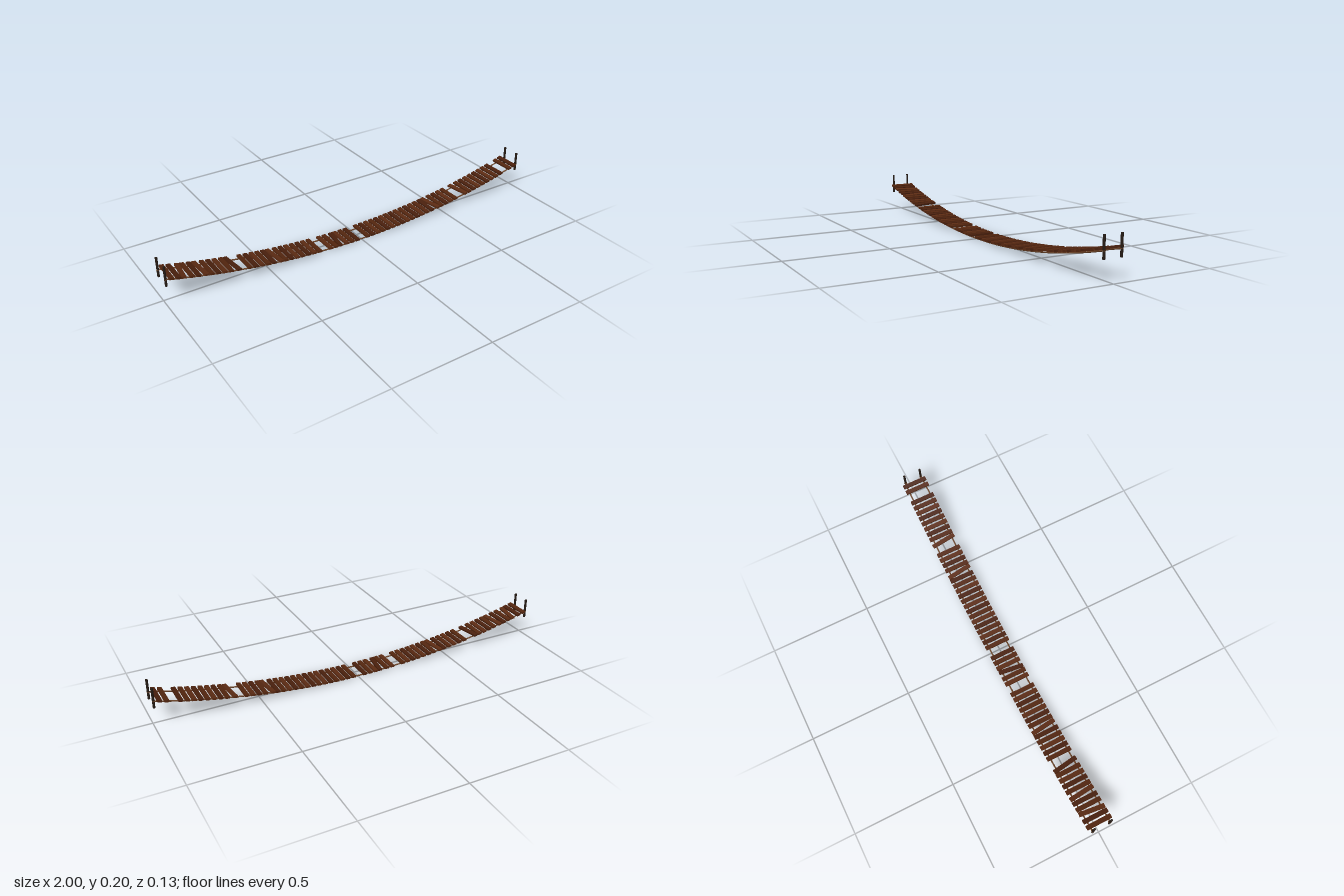
import * as THREE from 'three';

const material = (color) => new THREE.MeshStandardMaterial({ color, flatShading: true });

export function createModel() {
  const bridge = new THREE.Group();
  bridge.name = 'ropeBridge';
  const wood = [0x54260f, 0x4a200d, 0x5c2b13].map(material);
  const postWood = material(0x241a13);
  const ropeFibre = new THREE.MeshStandardMaterial({ color: 0x6b4327 });

  const add = (name, geometry, mat, x, y, z) => {
    const mesh = new THREE.Mesh(geometry, mat);
    mesh.name = name;
    mesh.position.set(x, y, z);
    bridge.add(mesh);
    return mesh;
  };

  // Sag of the bridge: a shallow parabola
  const sag = (x) => 0.004 + 0.131 * (x / 0.99) ** 2;

  // Two carrying ropes below the deck, each tied to a post at both ends
  const postGeometry = new THREE.CylinderGeometry(0.0058, 0.0058, 0.098, 8);
  const knotGeometry = new THREE.TorusGeometry(0.006, 0.002, 6, 12).rotateX(Math.PI / 2);
  for (const side of [1, -1]) {
    const ropeZ = 0.0025 + side * 0.0465;
    const postZ = 0.0025 + side * 0.043;
    const points = [];
    for (let i = 0; i <= 24; i++) {
      const x = -0.99 + (1.98 * i) / 24;
      points.push(new THREE.Vector3(x, sag(x), Math.abs(x) > 0.98 ? postZ + side * 0.002 : ropeZ));
    }
    const rope = new THREE.TubeGeometry(new THREE.CatmullRomCurve3(points), 96, 0.0035, 8);
    add('rope', rope, ropeFibre, 0, 0, 0);
    for (const end of [1, -1]) {
      add('post', postGeometry, postWood, end * 0.9935, 0.15, postZ);
      add('ropeKnot', knotGeometry, ropeFibre, end * 0.992, 0.135, postZ);
    }
  }

  // Deck planks follow the sag; some are missing and some sit crooked
  const count = 65;
  const missing = [11, 25, 32, 52, 62];
  const crooked = { 2: -0.12, 5: 0.1, 10: 0.14, 17: 0.12, 28: -0.13, 47: 0.14, 53: 0.12 };
  const plankGeometry = new THREE.BoxGeometry(0.02, 0.01, 0.125);
  for (let i = 0; i < count; i++) {
    if (missing.includes(i)) continue;
    const x = -0.97 + (1.94 * i) / (count - 1);
    const slope = Math.atan((2 * 0.131 * x) / 0.99 ** 2);
    const plank = add('plank', plankGeometry, wood[(i * 7) % 3], x, sag(x) + 0.009, 0.001);
    plank.rotation.set(0, crooked[i] || 0, slope, 'ZYX');
  }
  return bridge;
}
